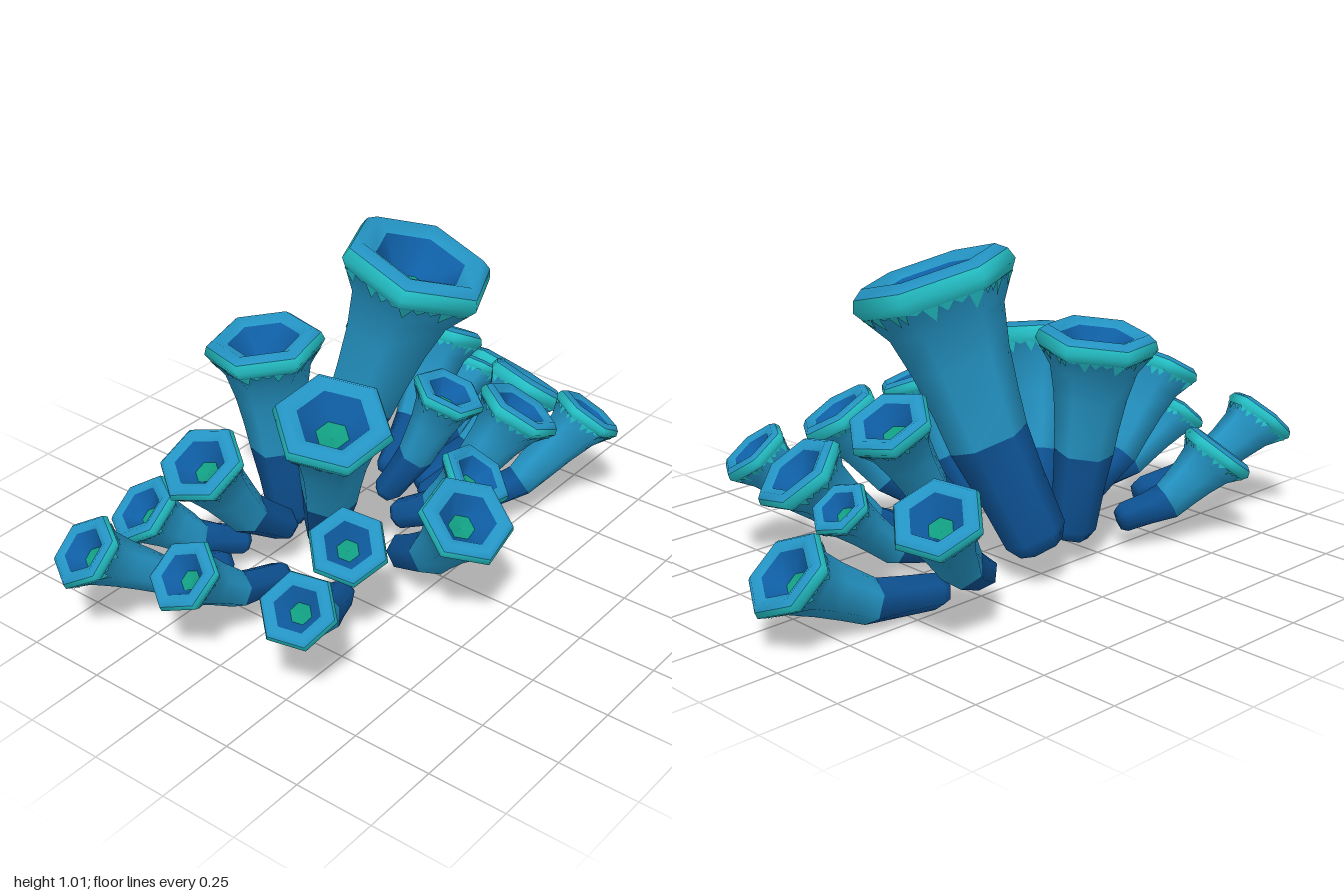
import * as THREE from 'three';

const mat = (name, color) => {
  const m = new THREE.MeshStandardMaterial({ color });
  m.name = name;
  return m;
};
const V = (p) => new THREE.Vector3(...p);
const UP = new THREE.Vector3(0, 1, 0);
const SIDES = 6;
const DRIPS = 5;

// Each trumpet: base, mouth centre, mouth radius and, where it is turned, the roll in degrees
const TRUMPETS = [
  [[0.06, 0.12, -0.31], [0.235, 0.95, -0.015], 0.248, 36],
  [[-0.13, 0.09, -0.25], [-0.17, 0.745, -0.31], 0.183, 47],
  [[-0.1, 0.075, -0.14], [-0.305, 0.66, 0.07], 0.183, 5],
  [[0.15, 0.18, -0.08], [0.485, 0.57, -0.11], 0.135],
  [[0.3, 0.11, -0.31], [0.625, 0.415, -0.465], 0.138],
  [[0.38, 0.055, -0.23], [0.9, 0.24, -0.15], 0.14],
  [[0.28, 0.12, -0.12], [0.675, 0.36, -0.115], 0.095],
  [[0.23, 0.12, -0.02], [0.63, 0.4, 0.135], 0.145, 30],
  [[0.22, 0.1, 0.14], [0.59, 0.39, 0.395], 0.117],
  [[0.11, 0.17, 0.09], [0.345, 0.485, 0.295], 0.137],
  [[0, 0.16, 0.06], [0.09, 0.37, 0.315], 0.122],
  [[0.05, 0.18, -0.02], [0.15, 0.58, 0.16], 0.117],
  [[-0.07, 0.09, 0.13], [-0.2, 0.43, 0.48], 0.145, 55],
  [[-0.22, 0.14, 0.05], [-0.485, 0.4, 0.265], 0.122],
  [[-0.38, 0.13, 0.16], [-0.765, 0.36, 0.31], 0.116],
  [[-0.42, 0.13, -0.03], [-0.81, 0.33, -0.08], 0.116],
  [[-0.48, 0.13, -0.2], [-0.915, 0.35, -0.365], 0.118],
  [[-0.24, 0.15, -0.17], [-0.595, 0.555, -0.195], 0.135],
  [[-0.32, 0.1, -0.27], [-0.615, 0.31, -0.435], 0.122],
];

// Corners of one hexagonal cross-section
function ring(center, normal, radius, roll) {
  const a = THREE.MathUtils.degToRad(roll);
  const u = new THREE.Vector3(Math.cos(a), 0, Math.sin(a));
  u.addScaledVector(normal, -u.dot(normal)).normalize();
  const v = new THREE.Vector3().crossVectors(normal, u);
  return Array.from({ length: SIDES }, (_, i) => {
    const t = (i / SIDES) * Math.PI * 2;
    return center.clone()
      .addScaledVector(u, radius * Math.cos(t))
      .addScaledVector(v, radius * Math.sin(t));
  });
}

function meshOf(name, points, index, material) {
  const geo = new THREE.BufferGeometry().setFromPoints(points);
  geo.setIndex(index);
  geo.computeVertexNormals();
  const mesh = new THREE.Mesh(geo, material);
  mesh.name = name;
  return mesh;
}

// Smooth skin joining consecutive rings
function loft(name, rings, material) {
  const index = [];
  for (let k = 0; k < rings.length - 1; k++) {
    for (let i = 0; i < SIDES; i++) {
      const a = k * SIDES + i, b = k * SIDES + ((i + 1) % SIDES);
      index.push(a, b, b + SIDES, a, b + SIDES, a + SIDES);
    }
  }
  return meshOf(name, rings.flat(), index, material);
}

// Thin pointed streaks running from the rim down the bell
function drips(top, bottom, normal, material) {
  const points = [];
  for (let i = 0; i < SIDES; i++) {
    const j = (i + 1) % SIDES;
    const out = top[j].clone().sub(top[i]).cross(normal).setLength(0.003);
    const on = (f, down) => {
      const low = bottom[i].clone().lerp(bottom[j], f);
      return top[i].clone().lerp(top[j], f).lerp(low, down).add(out);
    };
    for (let d = 0; d < DRIPS; d++) {
      const length = 0.35 + 0.25 * Math.sin(5 * i + 2.3 * d);
      points.push(on(d / DRIPS, 0), on((d + 0.5) / DRIPS, length), on((d + 1) / DRIPS, 0));
    }
  }
  return meshOf('rimDrips', points, points.map((_, i) => i), material);
}

function trumpet([b, m, R, roll = 8], mats) {
  const base = V(b), mouth = V(m);
  // the flatter a trumpet lies, the lower its stem runs before it bends up
  const steepness = mouth.clone().sub(base).normalize().y;
  const bend = base.clone().lerp(mouth, 0.47);
  bend.y = THREE.MathUtils.lerp(base.y, mouth.y, 0.42 * steepness);

  const d0 = bend.clone().sub(base).normalize();
  const d1 = mouth.clone().sub(bend).normalize();
  const dMid = d0.clone().add(d1).normalize();
  // the mouth turns a little towards the sky
  const n = d1.clone().addScaledVector(UP, 0.8 * (1 - d1.y)).normalize();
  const throat = mouth.clone().addScaledVector(n, -0.36 * R);

  const at = (r, depth) => ring(mouth.clone().addScaledVector(n, -depth * R), n, r * R, roll);
  const stemAt = (r, t) => ring(base.clone().lerp(bend, t), d0, r * R, roll);
  const bellAt = (r, t) =>
    ring(bend.clone().lerp(throat, t), d1.clone().lerp(n, t * t).normalize(), r * R, roll);

  const joint = ring(bend, dMid, 0.49 * R, roll);
  const neck = bellAt(0.71, 0.82), underLip = at(0.92, 0.36);
  const lipEdge = at(0.95, 0.1), cupEdge = at(0.6, 0.1), floorEdge = at(0.28, 0.5);

  const g = new THREE.Group();
  g.name = 'trumpet';
  g.add(
    loft('stem', [stemAt(0, 0), stemAt(0.28, 0), stemAt(0.39, 0.12), stemAt(0.43, 0.6), joint], mats.stem),
    loft('bell', [joint, bellAt(0.53, 0.25), bellAt(0.6, 0.55), neck, underLip], mats.bell),
    drips(underLip, neck, n, mats.rim),
    loft('rimBand', [underLip, at(1, 0.24), lipEdge], mats.rim),
    loft('lip', [lipEdge, at(0.82, 0), cupEdge], mats.bell),
    loft('cup', [cupEdge, floorEdge], mats.cup),
    loft('cupFloor', [floorEdge, at(0, 0.58)], mats.floor),
  );
  return g;
}

export function createModel() {
  const mats = {
    stem: mat('deep blue', 0x0d5192),
    bell: mat('sea blue', 0x2494c4),
    rim: mat('turquoise', 0x24c2c8),
    cup: mat('royal blue', 0x0f5fa6),
    floor: mat('sea green', 0x119c80),
  };
  const model = new THREE.Group();
  model.name = 'trumpetCluster';
  for (const t of TRUMPETS) model.add(trumpet(t, mats));
  return model;
}
